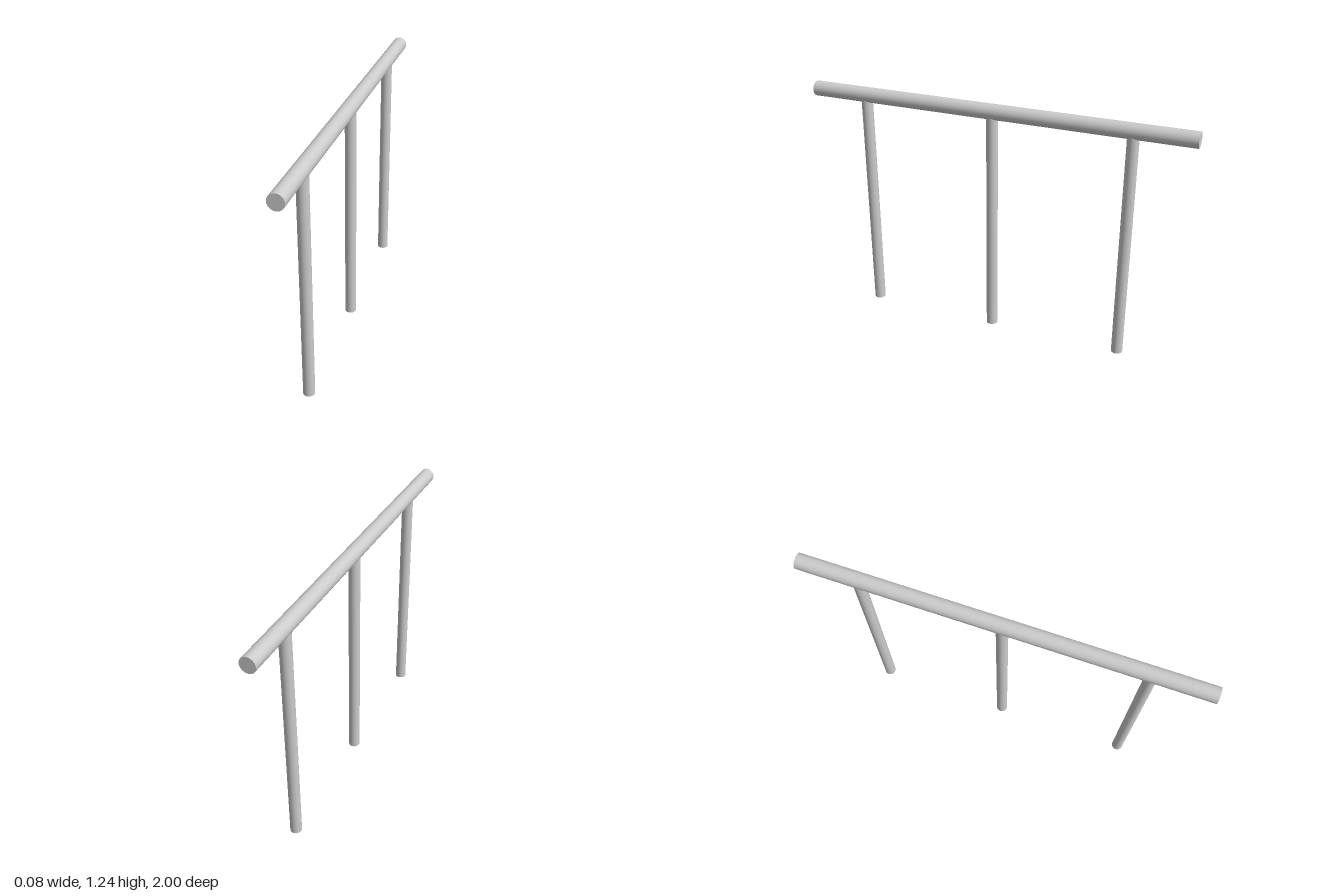
import * as THREE from 'three';

const RAIL_RADIUS = 0.039;
const RAIL_HEIGHT = 1.197;
const RAIL_LENGTH = 2;
const POST_RADIUS = 0.029;
const POST_SPACING = 0.7;

export function createModel() {
  const model = new THREE.Group();
  model.name = 'handrail';
  const material = new THREE.MeshStandardMaterial({ color: 0xcccccc });

  // Horizontal round rail running front to back
  const railGeometry = new THREE.CylinderGeometry(RAIL_RADIUS, RAIL_RADIUS, RAIL_LENGTH, 48);
  railGeometry.rotateX(Math.PI / 2);
  const rail = new THREE.Mesh(railGeometry, material);
  rail.name = 'rail';
  rail.position.y = RAIL_HEIGHT;
  model.add(rail);

  // Three round posts, their tops sunk to the middle of the rail
  const postGeometry = new THREE.CylinderGeometry(POST_RADIUS, POST_RADIUS, RAIL_HEIGHT, 48);
  ['backPost', 'middlePost', 'frontPost'].forEach((name, i) => {
    const post = new THREE.Mesh(postGeometry, material);
    post.name = name;
    post.position.set(0, RAIL_HEIGHT / 2, (i - 1) * POST_SPACING);
    model.add(post);
  });

  return model;
}
